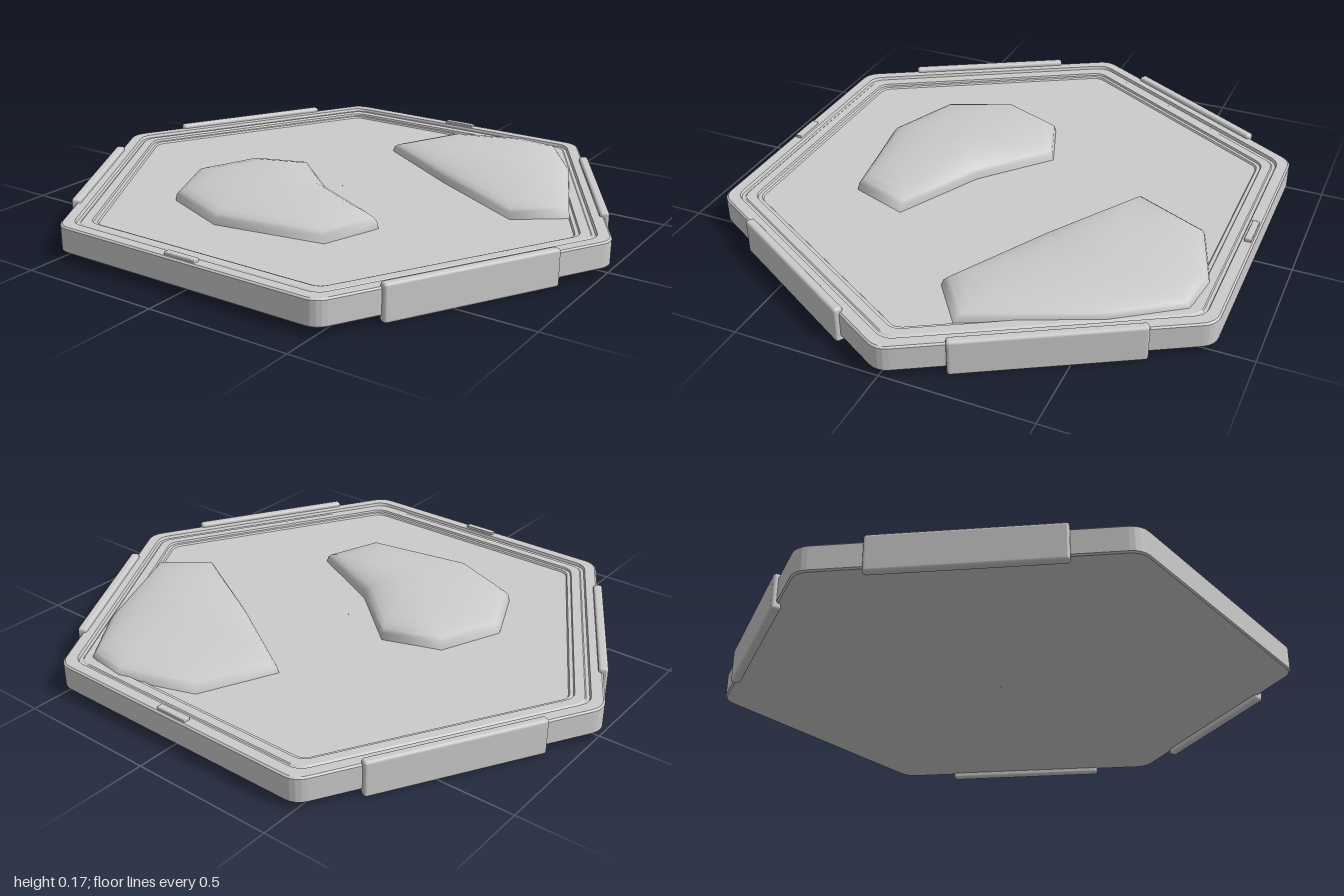
import * as THREE from 'three';
import { RoundedBoxGeometry } from 'three/addons/geometries/RoundedBoxGeometry.js';

const grey = new THREE.MeshStandardMaterial({ color: 0xcccccc });
const greyFlat = new THREE.MeshStandardMaterial({ color: 0xcccccc, flatShading: true });

function addMesh(parent, name, geometry, material = grey) {
  const mesh = new THREE.Mesh(geometry, material);
  mesh.name = name;
  parent.add(mesh);
  return mesh;
}

// Skin a stack of equal-length rings of [x, y, z] points
function loft(rings) {
  const n = rings[0].length;
  const index = [];
  for (let i = 0; i < rings.length - 1; i++) {
    for (let j = 0; j < n; j++) {
      const a = i * n + j, b = i * n + (j + 1) % n;
      index.push(a, a + n, b, b, a + n, b + n);
    }
  }
  const g = new THREE.BufferGeometry();
  g.setAttribute('position', new THREE.Float32BufferAttribute(rings.flat(2), 3));
  g.setIndex(index);
  g.computeVertexNormals();
  return g;
}

// Hexagon with rounded corners: apothem a, corner radius r, height y
function hexRing(a, r, y) {
  const ring = [];
  const reach = (a - r) / Math.cos(Math.PI / 6);
  for (let k = 0; k < 6; k++) {
    const corner = k * Math.PI / 3;
    for (const deg of [-30, -15, 0, 15, 30]) {
      const t = corner + THREE.MathUtils.degToRad(deg);
      ring.push([
        reach * Math.cos(corner) + r * Math.cos(t), y,
        reach * Math.sin(corner) + r * Math.sin(t),
      ]);
    }
  }
  return ring;
}

// Low dome rising from a polygonal outline towards a centre
function mound(outline, [cx, cz], base, top) {
  const profile = [[1, 0], [0.985, 0.3], [0.95, 0.46], [0.88, 0.6], [0.75, 0.75],
    [0.55, 0.89], [0.3, 0.97], [0.001, 1]];
  return loft(profile.map(([s, h]) => outline.map(([x, z]) =>
    [cx + (x - cx) * s, base + (top - base) * h, cz + (z - cz) * s])));
}

export function createModel() {
  const model = new THREE.Group();
  model.name = 'hexTile';

  // Tray: underside, wall, stepped rim and floor as [apothem, corner radius, y]
  const tray = [
    [0.001, 0.0005, 0.02], [0.87, 0.067, 0.02], [0.875, 0.067, 0.025],
    [0.875, 0.067, 0.105], [0.869, 0.065, 0.11], [0.833, 0.06, 0.11],
    [0.829, 0.06, 0.1], [0.818, 0.055, 0.1], [0.814, 0.055, 0.103],
    [0.783, 0.05, 0.103], [0.78, 0.05, 0.096], [0.768, 0.045, 0.096],
    [0.764, 0.045, 0.09], [0.001, 0.0005, 0.09],
  ];
  addMesh(model, 'tray', loft(tray.map(([a, r, y]) => hexRing(a, r, y))), greyFlat);

  // Side plates on the four slanted edges
  for (const deg of [30, 150, 210, 330]) {
    const t = THREE.MathUtils.degToRad(deg);
    const plate = addMesh(model, 'sidePlate', new RoundedBoxGeometry(0.6, 0.125, 0.032, 2, 0.01));
    plate.position.set(0.875 * Math.cos(t), 0.0625, 0.875 * Math.sin(t));
    plate.rotation.y = Math.PI / 2 - t;
  }

  // Small tabs on the front and back rim
  for (const side of [1, -1]) {
    const tab = addMesh(model, 'rimTab', new RoundedBoxGeometry(0.12, 0.02, 0.024, 1, 0.003));
    tab.position.set(0, 0.11, side * 0.853);
  }

  // Two low mounds on the floor
  addMesh(model, 'frontMound', mound([
    [-0.4, 0], [-0.2, -0.07], [0.03, 0.13], [0.33, 0.28],
    [0.26, 0.485], [-0.13, 0.55], [-0.39, 0.445], [-0.49, 0.22],
  ], [-0.11, 0.25], 0.09, 0.167));
  addMesh(model, 'backMound', mound([
    [0.05, -0.71], [0.31, -0.8], [0.46, -0.78], [0.61, -0.57],
    [0.8, -0.15], [0.64, -0.03], [0.28, -0.23], [-0.07, -0.45],
  ], [0.4, -0.45], 0.09, 0.157));

  return model;
}
